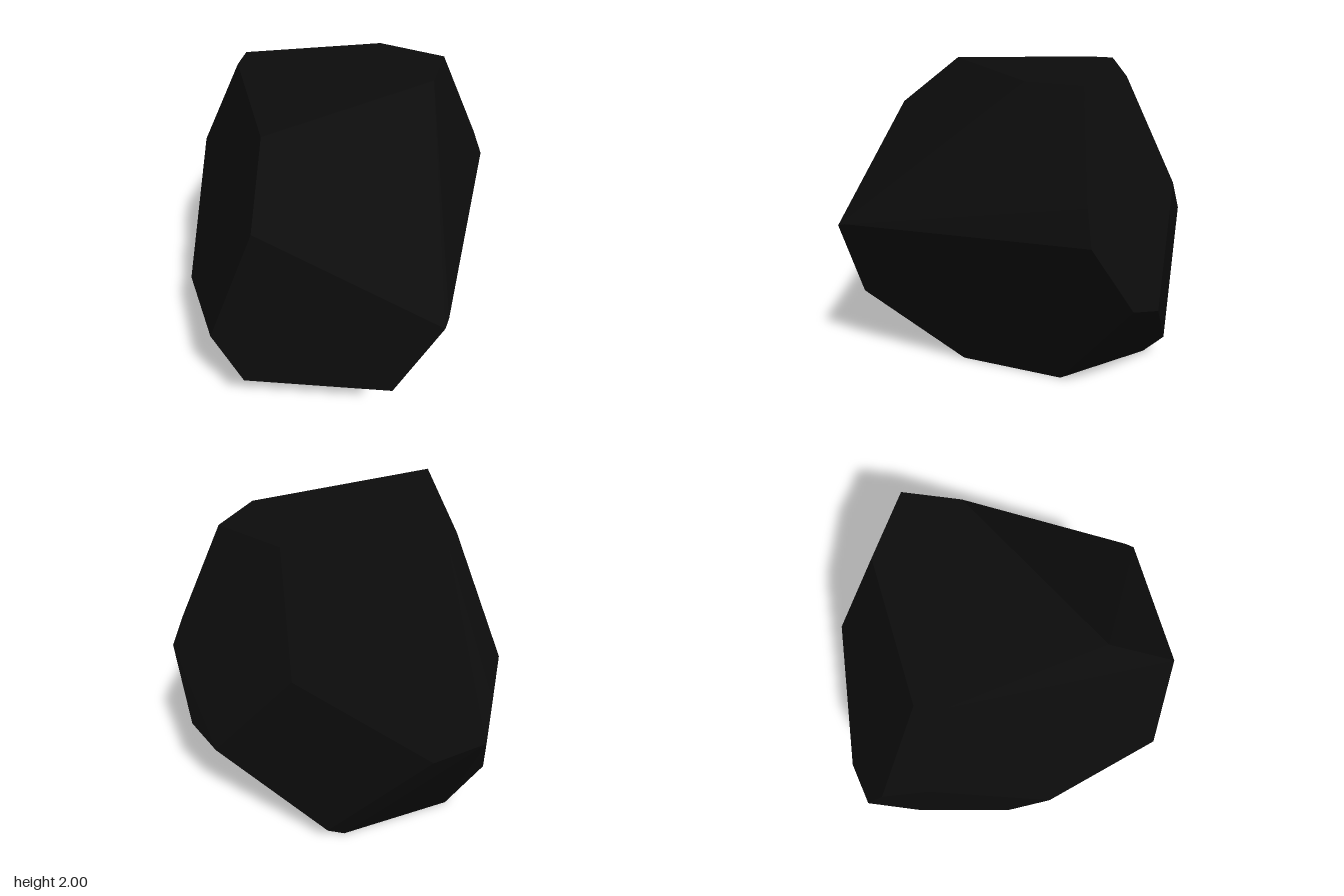
import * as THREE from 'three';
import { ConvexGeometry } from 'three/addons/geometries/ConvexGeometry.js';

// Corner points of the faceted stone, grouped by the flat face they lie on
const corners = {
  top: [[-0.37, 2, 0.57], [0.57, 2, -0.18], [0.64, 2, -0.53], [0.22, 2, -0.7], [-0.65, 2, -0.48], [-0.67, 2, -0.3]],
  front: [[-0.37, 1.67, 1], [0.69, 1.07, 1], [0.42, 0.5, 1], [-0.5, 0.5, 1], [-0.67, 0.88, 1]],
  rightSide: [[0.71, 1.09, 0.94], [0.98, 1.2, -0.66], [0.905, 1.4, -0.62], [0.81, 0.78, -0.88]],
  back: [[0.09, 1.34, -1], [-0.72, 0.92, -1], [-0.09, 0.17, -1], [0.61, 0.71, -1]],
  leftSide: [[-0.99, 1.33, -0.47], [-0.99, 1.24, -0.76], [-0.99, 1.02, -0.88], [-0.99, 0.57, -0.6], [-0.99, 0.3, 0.02], [-0.99, 0.68, 0.29]],
  base: [[0.35, 0, -0.37], [0.28, 0, 0.34], [-0.67, 0, 0.34], [-0.85, 0, 0.03], [-0.77, 0, -0.43], [-0.16, 0, -0.86]],
};

export function createModel() {
  const group = new THREE.Group();
  group.name = 'facetedStone';

  const blackStone = new THREE.MeshStandardMaterial({ color: 0x0c0c0c });
  blackStone.name = 'blackStone';

  // The stone is the convex hull of its corners, with flat facets
  const points = Object.values(corners).flat().map((p) => new THREE.Vector3(...p));
  const stone = new THREE.Mesh(new ConvexGeometry(points), blackStone);
  stone.name = 'stone';
  group.add(stone);
  return group;
}
